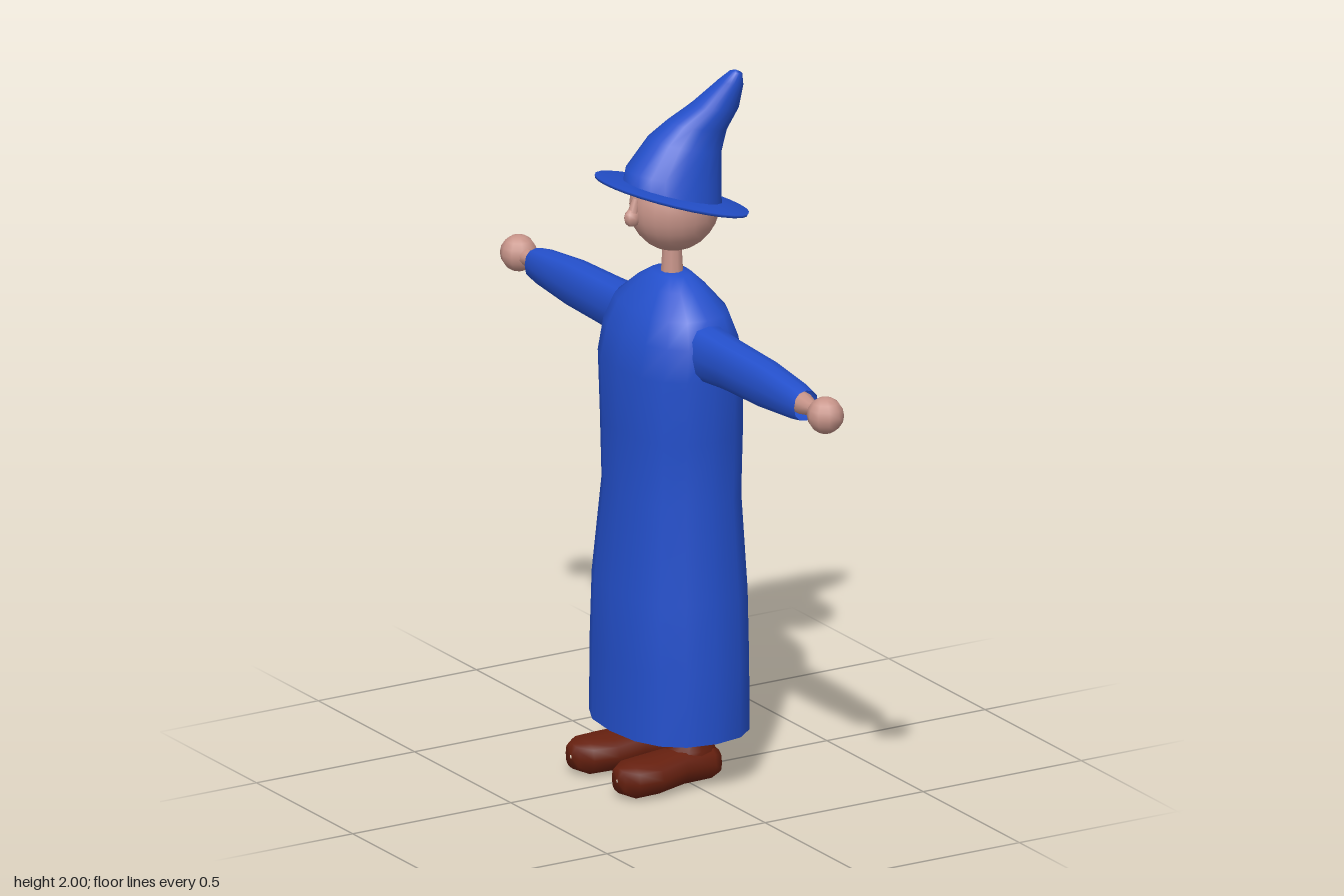
import * as THREE from 'three';

const V = (x, y, z) => new THREE.Vector3(x, y, z);
const mat = (color, side = THREE.FrontSide) => new THREE.MeshStandardMaterial({ color, side });
const CLOTH = mat(0x2450cc, THREE.DoubleSide);
const SKIN = mat(0xc8958a);
const LEATHER = mat(0x66200f);
const TROUSER = mat(0x222222);

// Skin over closed rings; each section is { c, u, v } with u x v pointing along the sweep.
// Exponent e above 2 squares the ring off.
function loft(sections, n, e = 2) {
  const pos = [], idx = [];
  const bulge = t => Math.sign(t) * Math.pow(Math.abs(t), 2 / e);
  sections.forEach(({ c, u, v }, i) => {
    for (let j = 0; j < n; j++) {
      const a = (j / n) * Math.PI * 2;
      const p = c.clone().addScaledVector(u, bulge(Math.cos(a))).addScaledVector(v, bulge(Math.sin(a)));
      pos.push(p.x, p.y, p.z);
      if (i === sections.length - 1) continue;
      const a0 = i * n + j, b0 = i * n + (j + 1) % n;
      idx.push(a0, b0, b0 + n, a0, b0 + n, a0 + n);
    }
  });
  const g = new THREE.BufferGeometry();
  g.setAttribute('position', new THREE.Float32BufferAttribute(pos, 3));
  g.setIndex(idx);
  g.computeVertexNormals();
  return g;
}

function add(parent, name, geo, material, x = 0, y = 0, z = 0) {
  const m = new THREE.Mesh(geo, material);
  m.name = name;
  m.position.set(x, y, z);
  parent.add(m);
  return m;
}

// Tilted ring given by its front and back points and its z range
const tilted = ([fx, fy, bx, by, z0, z1]) => ({
  c: V((fx + bx) / 2, (fy + by) / 2, (z0 + z1) / 2),
  u: V(0, 0, (z1 - z0) / 2),
  v: V((bx - fx) / 2, (by - fy) / 2, 0),
});

function buildHat() {
  const hat = new THREE.Group();
  hat.name = 'hat';
  add(hat, 'crown', loft([
    [-0.13, 1.68, 0.15, 1.6, -0.125, 0.125],
    [-0.12, 1.73, 0.153, 1.68, -0.115, 0.11],
    [-0.05, 1.81, 0.155, 1.76, -0.095, 0.09],
    [0.0, 1.855, 0.167, 1.82, -0.06, 0.083],
    [0.06, 1.9, 0.19, 1.885, -0.025, 0.097],
    [0.12, 1.97, 0.187, 1.955, 0.035, 0.105],
    [0.145, 1.997, 0.178, 1.99, 0.065, 0.102],
    [0.16, 2.0, 0.162, 2.0, 0.083, 0.085],
  ].map(tilted), 20), CLOTH);
  add(hat, 'brim', loft([
    [-0.11, 1.675, 0.14, 1.6, -0.115, 0.115],
    [-0.205, 1.712, 0.22, 1.572, -0.19, 0.19],
    [-0.205, 1.72, 0.225, 1.58, -0.192, 0.192],
    [-0.11, 1.695, 0.14, 1.618, -0.115, 0.115],
  ].map(tilted), 28), CLOTH);
  return hat;
}

function buildHead() {
  const head = new THREE.Group();
  head.name = 'head';
  add(head, 'skull', new THREE.SphereGeometry(0.125, 20, 14), SKIN, 0.018, 1.618, 0).scale.set(1.02, 1.03, 0.9);
  add(head, 'nose', new THREE.SphereGeometry(0.026, 8, 6), SKIN, -0.115, 1.602, 0).scale.set(1, 1, 0.7);
  add(head, 'noseBridge', new THREE.CylinderGeometry(0.01, 0.016, 0.05, 8), SKIN, -0.11, 1.63, 0).rotation.z = -0.25;
  add(head, 'neck', new THREE.CylinderGeometry(0.025, 0.033, 0.14, 10), SKIN, 0.01, 1.46, 0);
  return head;
}

// Sleeve, wrist and hand; s is the side along z
function buildArm(s) {
  const arm = new THREE.Group();
  arm.name = s > 0 ? 'armA' : 'armB';
  add(arm, 'sleeve', loft([
    // distance out, x radius, y radius, y centre
    [0.13, 0.075, 0.095, 1.24],
    [0.21, 0.061, 0.076, 1.249],
    [0.32, 0.056, 0.069, 1.251],
    [0.5, 0.051, 0.065, 1.25],
    [0.66, 0.043, 0.05, 1.248],
    [0.7, 0.038, 0.043, 1.247],
  ].map(([z, rx, ry, y]) => ({ c: V(0.008, y, s * z), u: V(rx, 0, 0), v: V(0, s * ry, 0) })), 12, 2.4), CLOTH);
  const wrist = new THREE.LatheGeometry(
    [[0.001, 0.6], [0.032, 0.61], [0.03, 0.69], [0.02, 0.73], [0.026, 0.77]].map(p => new THREE.Vector2(...p)), 10);
  add(arm, 'wrist', wrist, SKIN, 0.01, 1.248, 0).rotation.x = s * Math.PI / 2;
  add(arm, 'hand', new THREE.SphereGeometry(0.051, 10, 8), SKIN, 0.01, 1.248, s * 0.797);
  return arm;
}

// Trouser leg with shoe, toe towards -x
function buildLeg(s) {
  const leg = new THREE.Group();
  leg.name = s > 0 ? 'legA' : 'legB';
  add(leg, 'trouserLeg', new THREE.CylinderGeometry(0.042, 0.036, 0.7, 10), TROUSER, 0.01, 0.5, s * 0.095);
  add(leg, 'shoe', loft([
    // x, z centre, z radius, sole y, upper y
    [0.083, 0.1, 0.005, 0.045, 0.055],
    [0.08, 0.1, 0.045, 0.017, 0.09],
    [0.05, 0.102, 0.063, 0.01, 0.105],
    [-0.04, 0.108, 0.06, 0.01, 0.105],
    [-0.13, 0.116, 0.075, 0.003, 0.097],
    [-0.2, 0.12, 0.062, 0, 0.096],
    [-0.232, 0.12, 0.035, 0.015, 0.085],
    [-0.237, 0.12, 0.004, 0.045, 0.055],
  ].map(([x, z, rz, y0, y1]) => ({ c: V(x, (y0 + y1) / 2, s * z), u: V(0, 0, rz), v: V(0, (y1 - y0) / 2, 0) })), 12, 2.8), LEATHER);
  add(leg, 'shoeAnkle', loft([
    // y, x radius, z radius
    [0.07, 0.078, 0.062], [0.1, 0.07, 0.06], [0.14, 0.045, 0.046], [0.17, 0.043, 0.043], [0.175, 0.002, 0.002],
  ].map(([y, rx, rz]) => ({ c: V(0.008, y, s * 0.097), u: V(0, 0, rz), v: V(rx, 0, 0) })), 12), LEATHER);
  return leg;
}

export function createModel() {
  const model = new THREE.Group();
  model.name = 'robedFigure';

  // Long robe, open at the hem
  add(model, 'robe', loft([
    // y, front x, back x, z radius
    [0.15, -0.187, 0.19, 0.247],
    [0.35, -0.187, 0.19, 0.244],
    [0.55, -0.183, 0.188, 0.236],
    [0.82, -0.158, 0.174, 0.212],
    [1.0, -0.16, 0.176, 0.22],
    [1.18, -0.165, 0.175, 0.225],
    [1.27, -0.145, 0.158, 0.22],
    [1.34, -0.118, 0.133, 0.19],
    [1.4, -0.07, 0.085, 0.115],
    [1.43, -0.04, 0.055, 0.065],
    [1.432, -0.015, 0.035, 0.025],
  ].map(([y, x0, x1, rz]) => ({ c: V((x0 + x1) / 2, y, 0), u: V(0, 0, rz), v: V((x1 - x0) / 2, 0, 0) })), 16, 2.4), CLOTH);

  model.add(buildHead(), buildHat());
  for (const s of [1, -1]) model.add(buildArm(s), buildLeg(s));
  return model;
}
